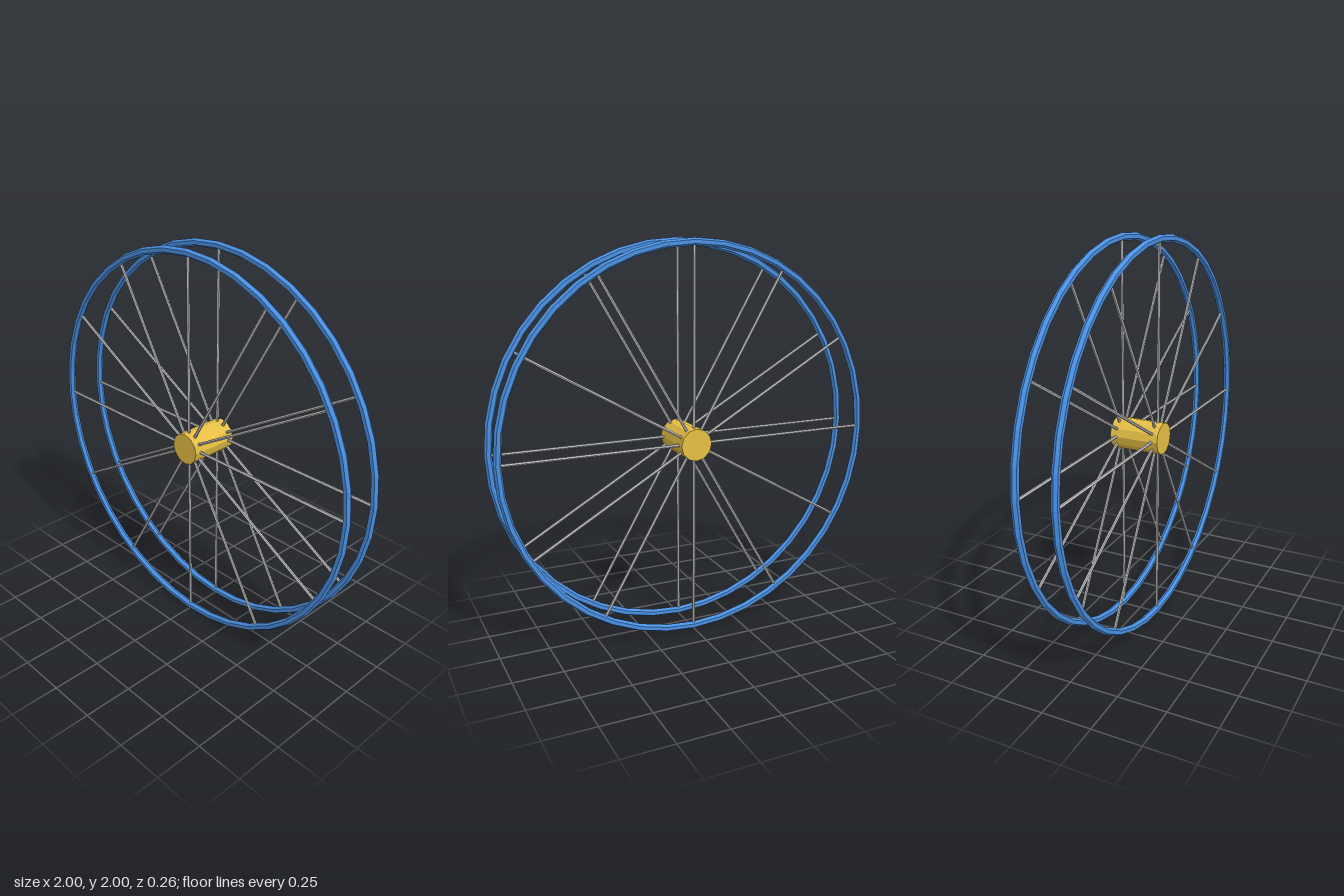
import * as THREE from 'three';

const RIM_R = 0.981, TUBE_R = 0.019, SPOKE_R = 0.0078;
const HUB_R = 0.082, HUB_LEN = 0.26, RIM_Z = 0.098, SPOKES = 12;

function material(name, color) {
  const m = new THREE.MeshStandardMaterial({ color, flatShading: true });
  m.name = name;
  return m;
}

export function createModel() {
  const blue = material('rim blue', 0x4a90e2);
  const grey = material('spoke grey', 0xcccccc);
  const gold = material('hub gold', 0xe6bf45);

  const model = new THREE.Group();
  model.name = 'doubleWheel';
  const add = (parent, name, geometry, mat) => {
    const mesh = new THREE.Mesh(geometry, mat);
    mesh.name = name;
    parent.add(mesh);
    return mesh;
  };

  // Hub running front to back
  const hubGeo = new THREE.CylinderGeometry(HUB_R, HUB_R, HUB_LEN, 12).rotateX(Math.PI / 2);
  add(model, 'hub', hubGeo, gold).position.y = 1;

  // Two matching wheels, each a six-sided rim with spokes from the centre
  const rimGeo = new THREE.TorusGeometry(RIM_R, TUBE_R, 6, 40);
  const spokeGeo = new THREE.CylinderGeometry(SPOKE_R, SPOKE_R, RIM_R, 6)
    .translate(0, RIM_R / 2, 0);
  for (const side of [1, -1]) {
    const wheel = new THREE.Group();
    wheel.name = side > 0 ? 'frontWheel' : 'backWheel';
    wheel.position.set(0, 1, side * RIM_Z);
    add(wheel, 'rim', rimGeo, blue);
    for (let i = 0; i < SPOKES; i++) {
      add(wheel, 'spoke', spokeGeo, grey).rotation.z = (i / SPOKES) * Math.PI * 2;
    }
    model.add(wheel);
  }
  return model;
}
